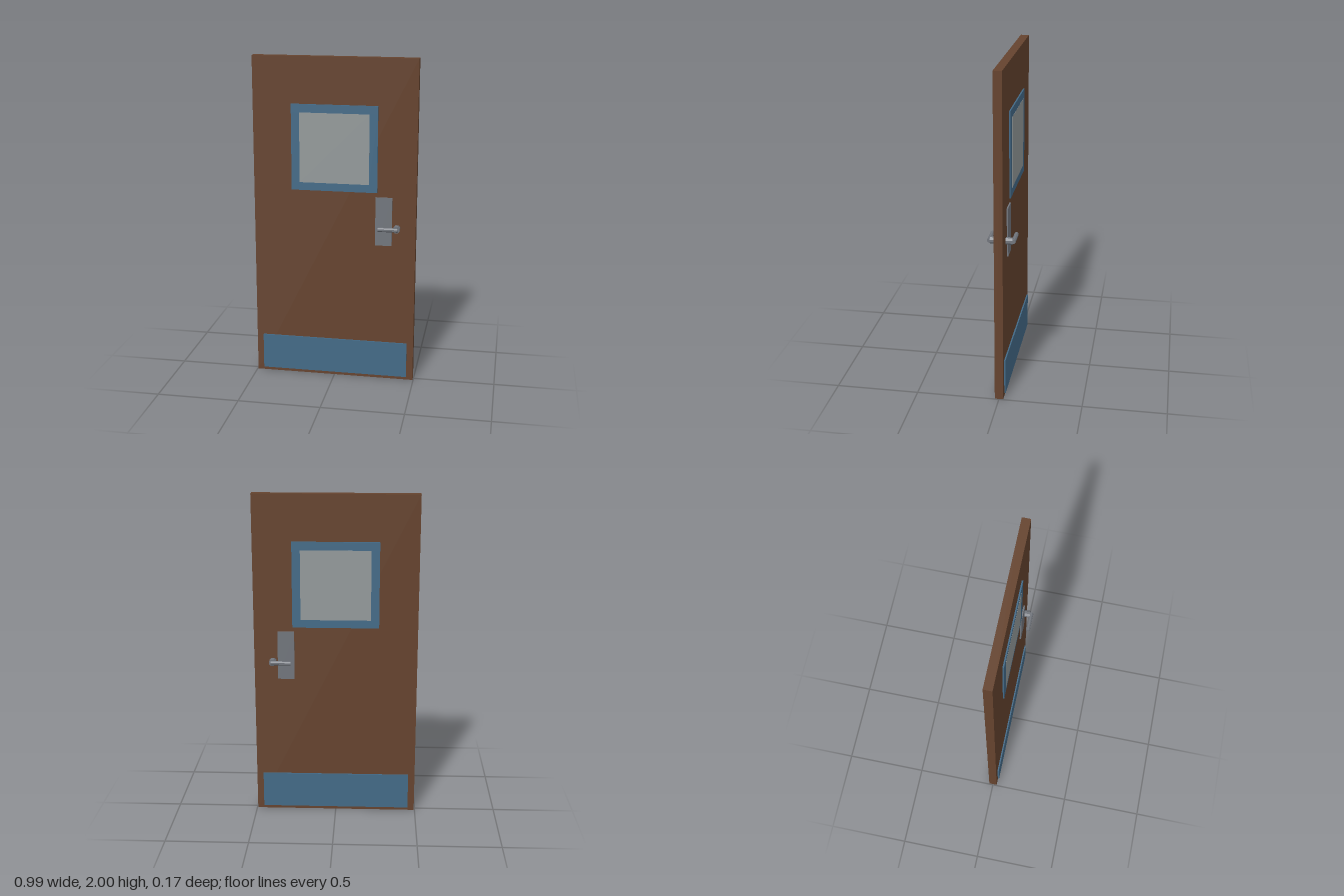
import * as THREE from 'three';

const material = (name, color) => {
  const m = new THREE.MeshStandardMaterial({ color });
  m.name = name;
  return m;
};

export function createModel() {
  const wood = material('brown wood', 0x65432e);
  const blue = material('blue metal', 0x436a87);
  const steel = material('grey steel', 0x71757c);
  const glass = material('frosted glass', 0x93999a);

  const door = new THREE.Group();
  door.name = 'door';

  const add = (parent, name, geometry, mat) => {
    const mesh = new THREE.Mesh(geometry, mat);
    mesh.name = name;
    parent.add(mesh);
    return mesh;
  };

  // Box given by its limits on each axis
  const box = (parent, name, mat, [x0, x1], [y0, y1], [z0, z1]) => {
    const g = new THREE.BoxGeometry(x1 - x0, y1 - y0, z1 - z0);
    g.translate((x0 + x1) / 2, (y0 + y1) / 2, (z0 + z1) / 2);
    return add(parent, name, g, mat);
  };

  // Eight-sided bar with flat sides facing the axes
  const bar = (width, length) => {
    const r = width / 2 / Math.cos(Math.PI / 8);
    const g = new THREE.CylinderGeometry(r, r, length, 8);
    g.rotateY(Math.PI / 8);
    return g.toNonIndexed();
  };
  const flat = (g) => {
    g.computeVertexNormals();
    return g;
  };

  const face = 0.0255;
  const plate = 0.034;
  box(door, 'slab', wood, [-0.495, 0.495], [0, 2], [-face, face]);

  // Fittings are the same on both faces of the door
  for (const side of [1, -1]) {
    const fittings = new THREE.Group();
    fittings.name = side > 0 ? 'frontFittings' : 'backFittings';
    door.add(fittings);
    const z = (a, b) => (side > 0 ? [a, b] : [-b, -a]);

    box(fittings, 'kickPlate', blue, [-0.455, 0.455], [0.02, 0.243], z(face, plate));

    // Window: four frame strips around the pane
    box(fittings, 'frameTop', blue, [-0.261, 0.261], [1.67, 1.72], z(face, plate));
    box(fittings, 'frameBottom', blue, [-0.261, 0.261], [1.198, 1.246], z(face, plate));
    box(fittings, 'frameLeft', blue, [0.211, 0.261], [1.246, 1.67], z(face, plate));
    box(fittings, 'frameRight', blue, [-0.261, -0.211], [1.246, 1.67], z(face, plate));
    box(fittings, 'windowPane', glass, [-0.211, 0.211], [1.246, 1.67], z(face, plate + 0.001));

    // Handle: plate, short stem and lever
    box(fittings, 'handlePlate', steel, [0.251, 0.352], [0.872, 1.171], z(face, plate));
    const stem = bar(0.04, 0.041).rotateX(Math.PI / 2);
    add(fittings, 'handleStem', flat(stem), steel).position.set(0.382, 0.983, side * 0.0455);
    const lever = bar(0.024, 0.12).rotateZ(Math.PI / 2);
    add(fittings, 'handleLever', flat(lever), steel).position.set(0.332, 0.983, side * 0.071);
  }

  return door;
}
